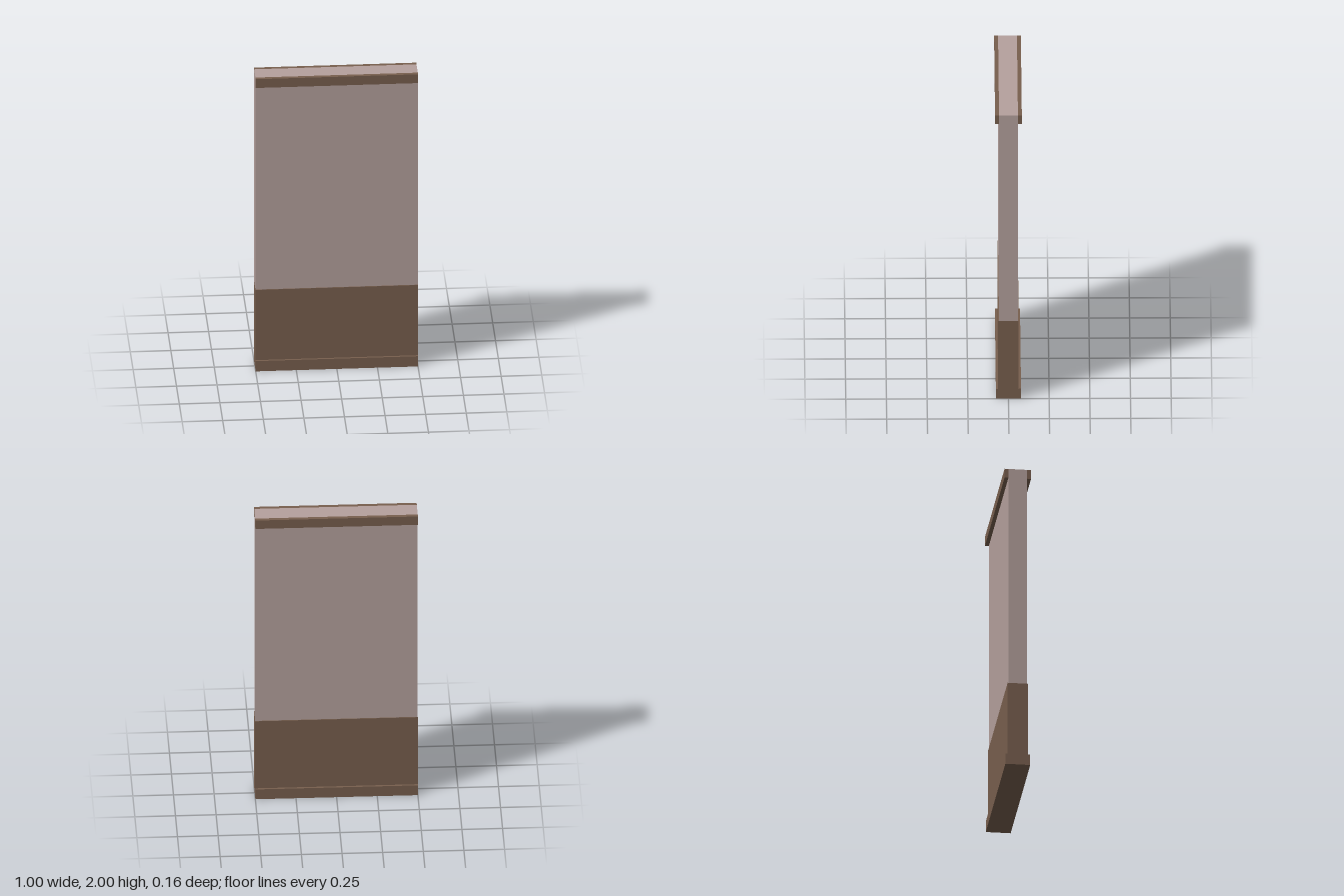
import * as THREE from 'three';

export function createModel() {
  const group = new THREE.Group();
  const plaster = new THREE.MeshStandardMaterial({ color: 0xb5a19d });
  plaster.name = 'pinkPlaster';
  const wood = new THREE.MeshStandardMaterial({ color: 0x785f4e });
  wood.name = 'brownWood';

  // Full-width box between two heights and two depths
  function slab(name, material, y0, y1, z0, z1) {
    const mesh = new THREE.Mesh(new THREE.BoxGeometry(1, y1 - y0, z1 - z0), material);
    mesh.position.set(0, (y0 + y1) / 2, (z0 + z1) / 2);
    mesh.name = name;
    group.add(mesh);
  }

  const wall = 0.058, panel = 0.063, base = 0.077, crown = 0.082;

  // Plaster wall above the wooden panelling
  slab('wall', plaster, 0.55, 2, -wall, wall);
  slab('wainscot', wood, 0.07, 0.55, -panel, panel);
  slab('baseboard', wood, 0, 0.07, -base, base);

  // Crown strips on both faces, leaving the wall top exposed
  slab('frontCrownMoulding', wood, 1.94, 2, wall, crown);
  slab('backCrownMoulding', wood, 1.94, 2, -crown, -wall);

  return group;
}
